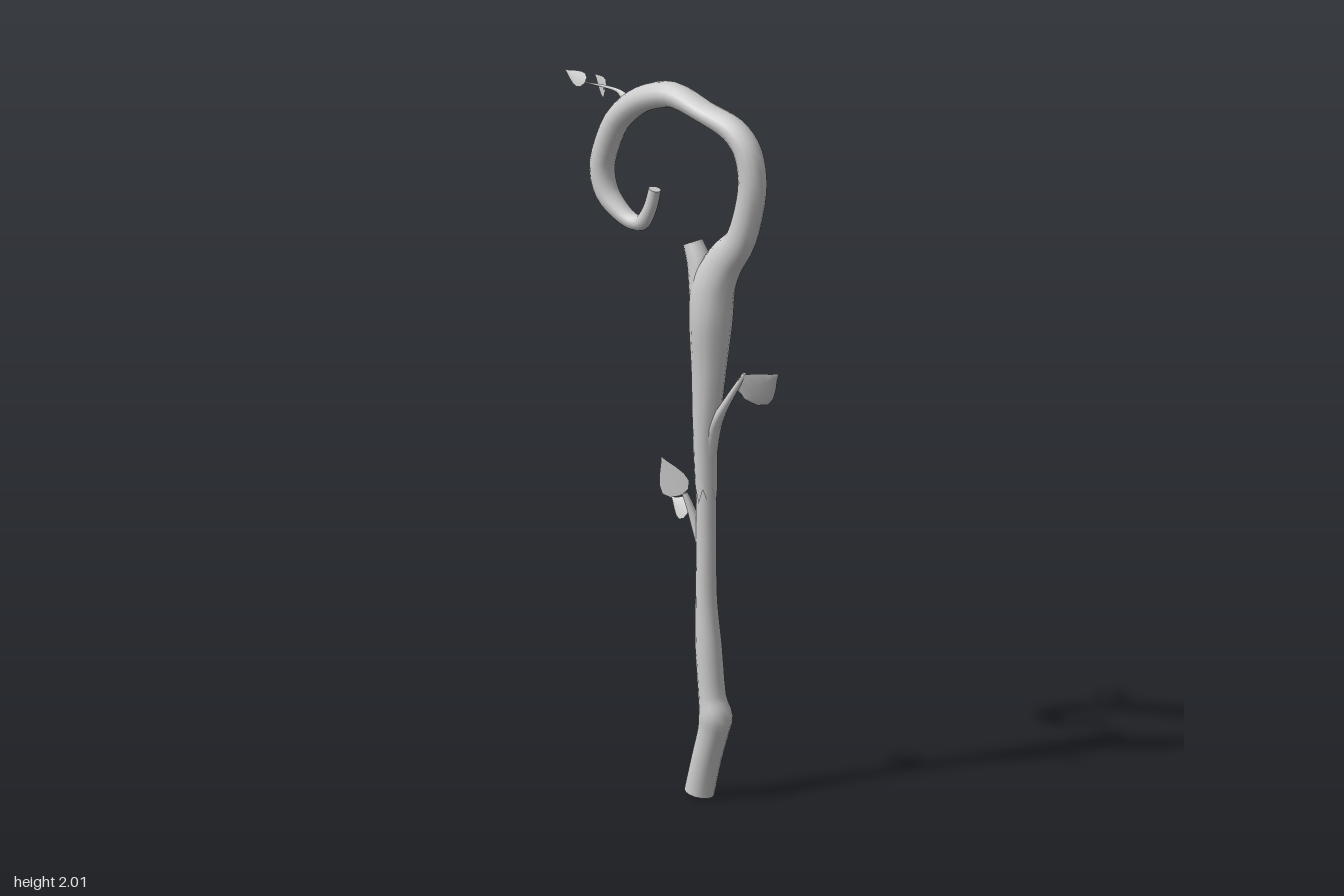
import * as THREE from 'three';

const V = (x, y, z) => new THREE.Vector3(x, y, z);
const material = new THREE.MeshStandardMaterial({ color: 0xcccccc });
const leafMaterial = new THREE.MeshStandardMaterial({ color: 0xcccccc, side: THREE.DoubleSide });

function meshFrom(name, positions, index, mat) {
  const geo = new THREE.BufferGeometry();
  geo.setAttribute('position', new THREE.Float32BufferAttribute(positions, 3));
  geo.setIndex(index);
  geo.computeVertexNormals();
  const mesh = new THREE.Mesh(geo, mat);
  mesh.name = name;
  return mesh;
}

// Swept branch. Each station: [x, y, z, half width in x, half width across].
// A ragged branch has its first ring torn into teeth.
function branch(name, stations, { steps = 4, sides = 14, ragged = 0 } = {}) {
  const path = new THREE.CatmullRomCurve3(stations.map(s => V(s[0], s[1], s[2])));
  const size = new THREE.CatmullRomCurve3(stations.map(s => V(s[3], s[4], 0)));
  path.curveType = size.curveType = 'catmullrom';
  path.tension = size.tension = 0.45;
  const n = (stations.length - 1) * steps;
  const pos = [], idx = [];
  for (let i = 0; i <= n; i++) {
    const c = path.getPoint(i / n), r = size.getPoint(i / n);
    const T = path.getTangent(i / n);
    const X = V(1, 0, 0).addScaledVector(T, -T.x).normalize();
    const N = T.clone().cross(X);
    for (let j = 0; j < sides; j++) {
      const a = (j / sides) * Math.PI * 2;
      const p = c.clone().addScaledVector(X, r.x * Math.cos(a)).addScaledVector(N, r.y * Math.sin(a));
      if (i === 0 && j % 2) p.addScaledVector(T, -ragged);
      pos.push(p.x, p.y, p.z);
      if (i < n) {
        const k = (j + 1) % sides, A = i * sides, B = A + sides;
        idx.push(A + j, A + k, B + j, A + k, B + k, B + j);
      }
    }
  }
  // flat end caps with their own corners
  for (const [ring, flip] of [[0, true], [n, false]]) {
    if (ring === 0 && ragged) continue;
    const c = path.getPoint(ring / n), base = pos.length / 3;
    pos.push(c.x, c.y, c.z);
    for (let j = 0; j < sides; j++) {
      const o = (ring * sides + j) * 3;
      pos.push(pos[o], pos[o + 1], pos[o + 2]);
      const a = base + 1 + j, b = base + 1 + ((j + 1) % sides);
      idx.push(base, flip ? b : a, flip ? a : b);
    }
  }
  return meshFrom(name, pos, idx, material);
}

// Pointed leaf with rounded lobes and a shallow fold along its midrib
function leaf(name, base, tip, across, width) {
  const axis = tip.clone().sub(base);
  const dir = axis.clone().normalize();
  const side = across.clone().addScaledVector(dir, -across.dot(dir)).normalize();
  const up = dir.clone().cross(side);
  const outline = [[0, 0.12], [0.06, 0.68], [0.22, 1], [0.42, 0.92], [0.64, 0.6], [0.85, 0.22], [1, 0]];
  const pos = [], idx = [];
  outline.forEach(([u, w], i) => {
    for (const s of [-1, 0, 1]) {
      const p = base.clone().addScaledVector(axis, u)
        .addScaledVector(side, s * w * width / 2)
        .addScaledVector(up, Math.abs(s) * w * width * 0.08);
      pos.push(p.x, p.y, p.z);
    }
    if (i < outline.length - 1) for (const k of [0, 1]) {
      const a = i * 3 + k, b = a + 3;
      idx.push(a, a + 1, b, a + 1, b + 1, b);
    }
  });
  return meshFrom(name, pos, idx, leafMaterial);
}

export function createModel() {
  const group = new THREE.Group();
  group.name = 'woodenStaff';

  // lower shaft with its bent foot
  group.add(branch('lowerShaft', [
    [0, 0, 0.106, 0.042, 0.042],
    [0, 0.1, 0.132, 0.043, 0.041],
    [0, 0.18, 0.156, 0.044, 0.043],
    [0, 0.225, 0.164, 0.048, 0.047],
    [0, 0.28, 0.152, 0.041, 0.037],
    [0, 0.42, 0.139, 0.037, 0.037],
    [0, 0.55, 0.131, 0.031, 0.030],
    [0, 0.7, 0.131, 0.028, 0.028],
    [0, 0.84, 0.131, 0.029, 0.027],
    [0, 0.95, 0.130, 0.027, 0.025],
  ], { steps: 3 }));

  // upper shaft sweeping into the curled crook
  group.add(branch('upperShaftAndCrook', [
    [0, 0.87, 0.131, 0.034, 0.029],
    [0, 1.0, 0.128, 0.036, 0.034],
    [0, 1.2, 0.14, 0.046, 0.05],
    [0, 1.34, 0.147, 0.06, 0.06],
    [0, 1.44, 0.156, 0.056, 0.064],
    [0, 1.52, 0.196, 0.046, 0.056],
    [0, 1.6, 0.258, 0.041, 0.044],
    [0, 1.738, 0.294, 0.04, 0.04],
    [0, 1.84, 0.28, 0.04, 0.039],
    [0, 1.9, 0.225, 0.04, 0.035],
    [0, 1.935, 0.12, 0.04, 0.030],
    [0, 1.964, 0.012, 0.04, 0.036],
    [0, 1.934, -0.095, 0.04, 0.037],
    [0, 1.86, -0.185, 0.04, 0.036],
    [0, 1.733, -0.238, 0.038, 0.034],
    [0, 1.648, -0.222, 0.036, 0.032],
    [0, 1.59, -0.155, 0.028, 0.024],
    [0, 1.582, -0.1, 0.024, 0.022],
    [0, 1.63, -0.068, 0.02, 0.019],
    [0, 1.685, -0.052, 0.018, 0.017],
  ], { ragged: 0.04 }));

  // cut stub beside the crook
  group.add(branch('cutStub', [
    [0, 1.28, 0.128, 0.035, 0.035],
    [0, 1.42, 0.124, 0.042, 0.042],
    [0, 1.5, 0.108, 0.035, 0.036],
    [0, 1.558, 0.083, 0.028, 0.028],
  ]));

  // front twig and leaf
  group.add(branch('frontTwig', [
    [0, 0.96, 0.138, 0.026, 0.022],
    [0, 1.05, 0.162, 0.022, 0.017],
    [0.004, 1.12, 0.2, 0.012, 0.012],
    [0.012, 1.21, 0.258, 0.006, 0.007],
  ], { sides: 8 }));
  group.add(branch('frontLeafStem', [
    [0.008, 1.165, 0.228, 0.003, 0.003],
    [0.025, 1.14, 0.255, 0.002, 0.002],
  ], { sides: 5 }));
  group.add(leaf('frontLeaf', V(0.022, 1.135, 0.25), V(0.042, 1.22, 0.355), V(0.06, -0.1, 0.03), 0.115));

  // back twig with a large and a small leaf
  group.add(branch('backTwig', [
    [0, 0.68, 0.122, 0.014, 0.014],
    [0, 0.745, 0.1, 0.015, 0.015],
    [-0.006, 0.8, 0.082, 0.012, 0.011],
    [-0.014, 0.845, 0.066, 0.008, 0.009],
  ], { sides: 8 }));
  group.add(branch('backLeafStem', [
    [0, 0.75, 0.096, 0.003, 0.003],
    [0.008, 0.79, 0.06, 0.002, 0.002],
  ], { sides: 5 }));
  group.add(leaf('largeBackLeaf', V(-0.022, 0.84, 0.06), V(-0.042, 0.945, 0.004), V(-0.02, -0.04, -0.07), 0.092));
  group.add(leaf('smallBackLeaf', V(0.005, 0.785, 0.062), V(0.02, 0.815, -0.01), V(0.025, 0.06, 0.02), 0.066));

  // top twig with two leaves
  group.add(branch('topTwig', [
    [0, 1.89, -0.125, 0.026, 0.024],
    [0, 1.925, -0.155, 0.014, 0.014],
    [0, 1.943, -0.185, 0.006, 0.006],
    [0, 1.947, -0.24, 0.004, 0.004],
    [-0.005, 1.948, -0.3, 0.0015, 0.0015],
  ], { sides: 8 }));
  group.add(branch('topLeafStem', [
    [0, 1.946, -0.225, 0.003, 0.003],
    [0.02, 1.932, -0.25, 0.002, 0.002],
  ], { sides: 5 }));
  group.add(leaf('upperTopLeaf', V(-0.006, 1.948, -0.296), V(-0.02, 1.978, -0.355), V(0.022, 0.04, 0.01), 0.044));
  group.add(leaf('lowerTopLeaf', V(0.02, 1.922, -0.247), V(0.06, 1.957, -0.315), V(0, 1, 0.1), 0.058));

  return group;
}
